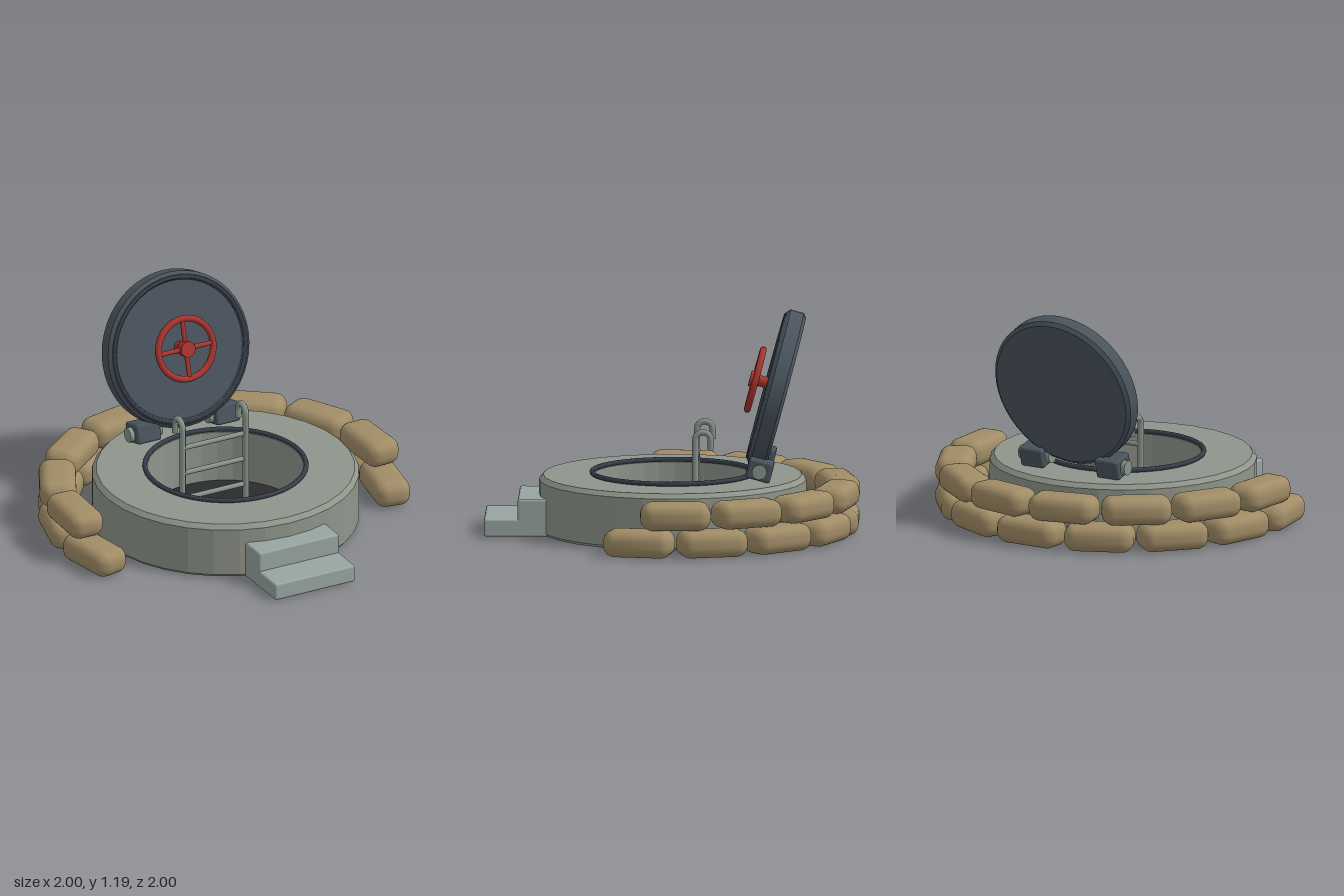
import * as THREE from 'three';
import { toCreasedNormals } from 'three/addons/utils/BufferGeometryUtils.js';
import { RoundedBoxGeometry } from 'three/addons/geometries/RoundedBoxGeometry.js';

const mat = (color) => new THREE.MeshStandardMaterial({ color });
const concrete = mat(0x8f958b), stepStone = mat(0x98a5a1), steel = mat(0x4a545d), seal = mat(0x353d47);
const red = mat(0xa8342f), sand = mat(0xa08c66), rail = mat(0x87938c), dark = mat(0x2c2c2c);
const TILT = -Math.PI / 12;

function add(parent, name, geometry, material, x = 0, y = 0, z = 0) {
  const mesh = new THREE.Mesh(geometry, material);
  mesh.name = name;
  mesh.position.set(x, y, z);
  parent.add(mesh);
  return mesh;
}

function lathe(points, sides, crease = 0.15) {
  const profile = points.map(([r, y]) => new THREE.Vector2(r, y));
  return toCreasedNormals(new THREE.LatheGeometry(profile, sides), crease);
}

const xRod = (r, length) => new THREE.CylinderGeometry(r, r, length, 14).rotateZ(Math.PI / 2);
const zRod = (r, length) => new THREE.CylinderGeometry(r, r, length, 20).rotateX(Math.PI / 2);

// Soft bag: rounded block narrowing towards its ends
function bagGeometry() {
  const g = new RoundedBoxGeometry(0.375, 0.147, 0.205, 4, 0.06);
  const p = g.attributes.position;
  for (let i = 0; i < p.count; i++) {
    const t = Math.pow(Math.abs(p.getX(i)) / 0.1875, 4);
    p.setY(i, p.getY(i) * (1 - 0.08 * t));
    p.setZ(i, p.getZ(i) * (1 - 0.18 * t));
  }
  g.deleteAttribute('normal');
  return toCreasedNormals(g, 0.7);
}

function sandbags() {
  const group = new THREE.Group();
  group.name = 'sandbagWall';
  const geometry = bagGeometry();
  const rows = [{ count: 9, y: 0.0735 }, { count: 8, y: 0.222 }];
  for (const { count, y } of rows) {
    for (let i = 0; i < count; i++) {
      const a = (i - (count - 1) / 2) * THREE.MathUtils.degToRad(25);
      const bag = add(group, 'sandbag', geometry, sand, Math.sin(a) * 0.895, y, -Math.cos(a) * 0.895);
      bag.rotation.y = -a;
    }
  }
  return group;
}

function lid() {
  const group = new THREE.Group();
  group.name = 'lid';
  const body = lathe([[0, -0.055], [0.405, -0.055], [0.425, -0.038], [0.425, 0.035],
    [0.408, 0.052], [0.385, 0.052], [0.378, 0.044], [0, 0.044]], 48, 0.3);
  add(group, 'lidPlate', body.rotateX(Math.PI / 2), steel);
  add(group, 'lidSeal', new THREE.TorusGeometry(0.394, 0.011, 8, 48), seal, 0, 0, 0.05);

  // Locking handwheel on its shaft
  const wheel = new THREE.Group();
  wheel.name = 'handwheel';
  wheel.position.set(0, 0.015, 0.12);
  add(wheel, 'wheelRim', new THREE.TorusGeometry(0.165, 0.018, 10, 36), red);
  add(wheel, 'wheelHub', zRod(0.043, 0.05), red, 0, 0, 0.005);
  add(wheel, 'wheelShaft', zRod(0.03, 0.09), red, 0, 0, -0.04);
  add(wheel, 'wheelSpokeAcross', xRod(0.013, 0.33), red);
  add(wheel, 'wheelSpokeUpright', new THREE.CylinderGeometry(0.013, 0.013, 0.33, 14), red);
  group.add(wheel);

  group.position.set(0, 0.775, -0.553);
  group.rotation.x = TILT;
  return group;
}

function hinge(side) {
  const group = new THREE.Group();
  group.name = side > 0 ? 'leftHinge' : 'rightHinge';
  add(group, 'hingeBlock', new RoundedBoxGeometry(0.145, 0.11, 0.135, 2, 0.015), steel);
  add(group, 'hingePin', xRod(0.04, 0.195), rail, 0, -0.004, 0);
  group.position.set(side * 0.24, 0.376, -0.472);
  group.rotation.x = TILT;
  return group;
}

function ladder() {
  const group = new THREE.Group();
  group.name = 'ladder';
  // Rail rising from the floor and hooking over backwards
  const path = new THREE.CurvePath();
  const v = (y, z) => new THREE.Vector3(0, y, z);
  const bend = [];
  for (let i = 0; i <= 8; i++) {
    const a = (i / 8) * Math.PI;
    bend.push(v(0.523 + Math.sin(a) * 0.042, -0.167 + Math.cos(a) * 0.042));
  }
  path.add(new THREE.LineCurve3(v(0.03, -0.125), bend[0]));
  path.add(new THREE.CatmullRomCurve3(bend));
  path.add(new THREE.LineCurve3(bend[8], v(0.47, -0.209)));
  const geometry = new THREE.TubeGeometry(path, 60, 0.017, 10);
  for (const side of [-1, 1]) {
    add(group, 'ladderRail', geometry, rail, side * 0.192, 0, 0);
    add(group, 'railEnd', new THREE.CircleGeometry(0.017, 10).rotateX(Math.PI / 2), rail, side * 0.192, 0.47, -0.209);
  }
  for (const y of [0.11, 0.26, 0.41]) add(group, 'ladderRung', xRod(0.014, 0.384), rail, 0, y, -0.13);
  return group;
}

export function createModel() {
  const model = new THREE.Group();
  model.name = 'hatch';

  // Concrete collar around the shaft
  add(model, 'collar', lathe([[0.42, 0.005], [0.7, 0.005], [0.713, 0.02], [0.713, 0.285], [0.69, 0.31],
    [0.42, 0.31], [0.42, 0.005]], 32), concrete);
  add(model, 'shaftFloor', new THREE.CylinderGeometry(0.412, 0.412, 0.015, 40), dark, 0, 0.02, 0);
  add(model, 'openingSeal', new THREE.TorusGeometry(0.43, 0.013, 10, 48).rotateX(Math.PI / 2), seal, 0, 0.322, 0);

  // Entry steps
  add(model, 'lowerStep', new RoundedBoxGeometry(0.487, 0.095, 0.4, 2, 0.012), stepStone, 0, 0.0525, 0.8);
  add(model, 'upperStep', new RoundedBoxGeometry(0.487, 0.197, 0.22, 2, 0.012), stepStone, 0, 0.1085, 0.71);

  model.add(lid(), hinge(-1), hinge(1), ladder(), sandbags());
  return model;
}
